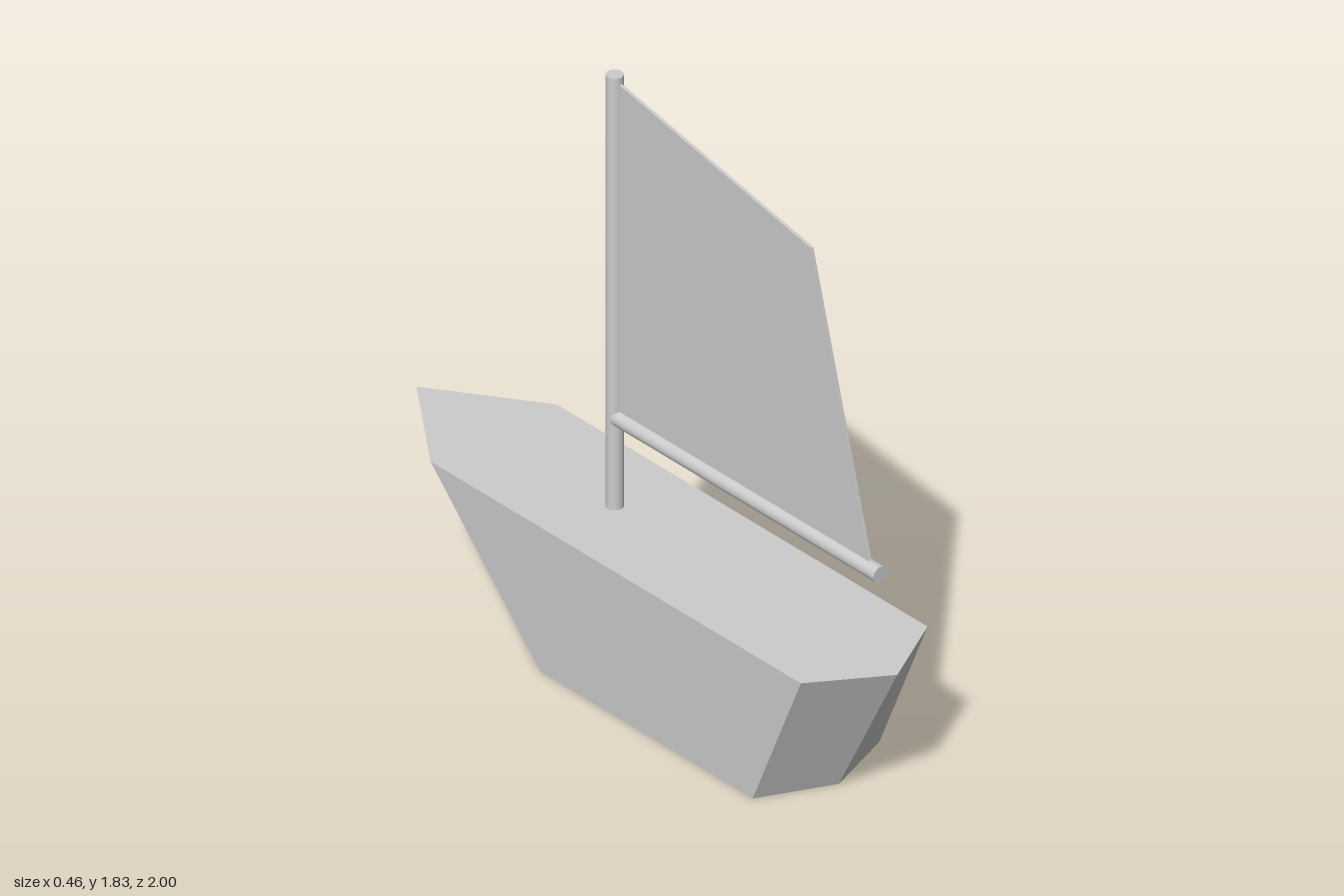
import * as THREE from 'three';

const grey = new THREE.MeshStandardMaterial({ color: 0xcccccc });

function addPart(group, name, geometry) {
  const mesh = new THREE.Mesh(geometry, grey);
  mesh.name = name;
  group.add(mesh);
  return mesh;
}

// Six-sided deck outline extruded downwards, with a shorter keel outline below
function hullGeometry() {
  const height = 0.458, halfWidth = 0.228;
  // x, z on the deck, z on the bottom
  const stations = [
    [0, -1, -0.583],
    [halfWidth, -0.678, -0.222],
    [halfWidth, 0.862, 0.662],
    [0, 1, 0.757],
    [-halfWidth, 0.862, 0.662],
    [-halfWidth, -0.678, -0.222],
  ];
  const outline = new THREE.Shape(stations.map(([x, z]) => new THREE.Vector2(x, z)));
  const geometry = new THREE.ExtrudeGeometry(outline, { depth: height, bevelEnabled: false });
  geometry.rotateX(Math.PI / 2).translate(0, height, 0);
  const pos = geometry.attributes.position;
  for (let i = 0; i < pos.count; i++) {
    if (pos.getY(i) > height / 2) continue;
    const station = stations.find(s => Math.abs(s[1] - pos.getZ(i)) < 1e-3);
    pos.setZ(i, station[2]);
  }
  geometry.computeVertexNormals();
  return geometry;
}

// Thin four-cornered sail in the centre plane
function sailGeometry() {
  const thickness = 0.01;
  const corners = [[-0.16, 0.76], [0.89, 0.76], [0.645, 1.655], [-0.16, 1.81]];
  const shape = new THREE.Shape(corners.map(([z, y]) => new THREE.Vector2(z, y)));
  const geometry = new THREE.ExtrudeGeometry(shape, { depth: thickness, bevelEnabled: false });
  return geometry.rotateY(-Math.PI / 2).translate(thickness / 2, 0, 0);
}

// Round pole of the given length, standing upright
const pole = length => new THREE.CylinderGeometry(0.025, 0.025, length, 24);

export function createModel() {
  const boat = new THREE.Group();
  boat.name = 'sailboat';

  addPart(boat, 'hull', hullGeometry());

  // Mast from the deck to the top
  addPart(boat, 'mast', pole(1.376)).position.set(0, 1.142, -0.175);

  // Boom lying along the length of the boat
  const boom = addPart(boat, 'boom', pole(1.095));
  boom.rotation.x = Math.PI / 2;
  boom.position.set(0, 0.745, 0.3825);

  addPart(boat, 'sail', sailGeometry());

  return boat;
}
